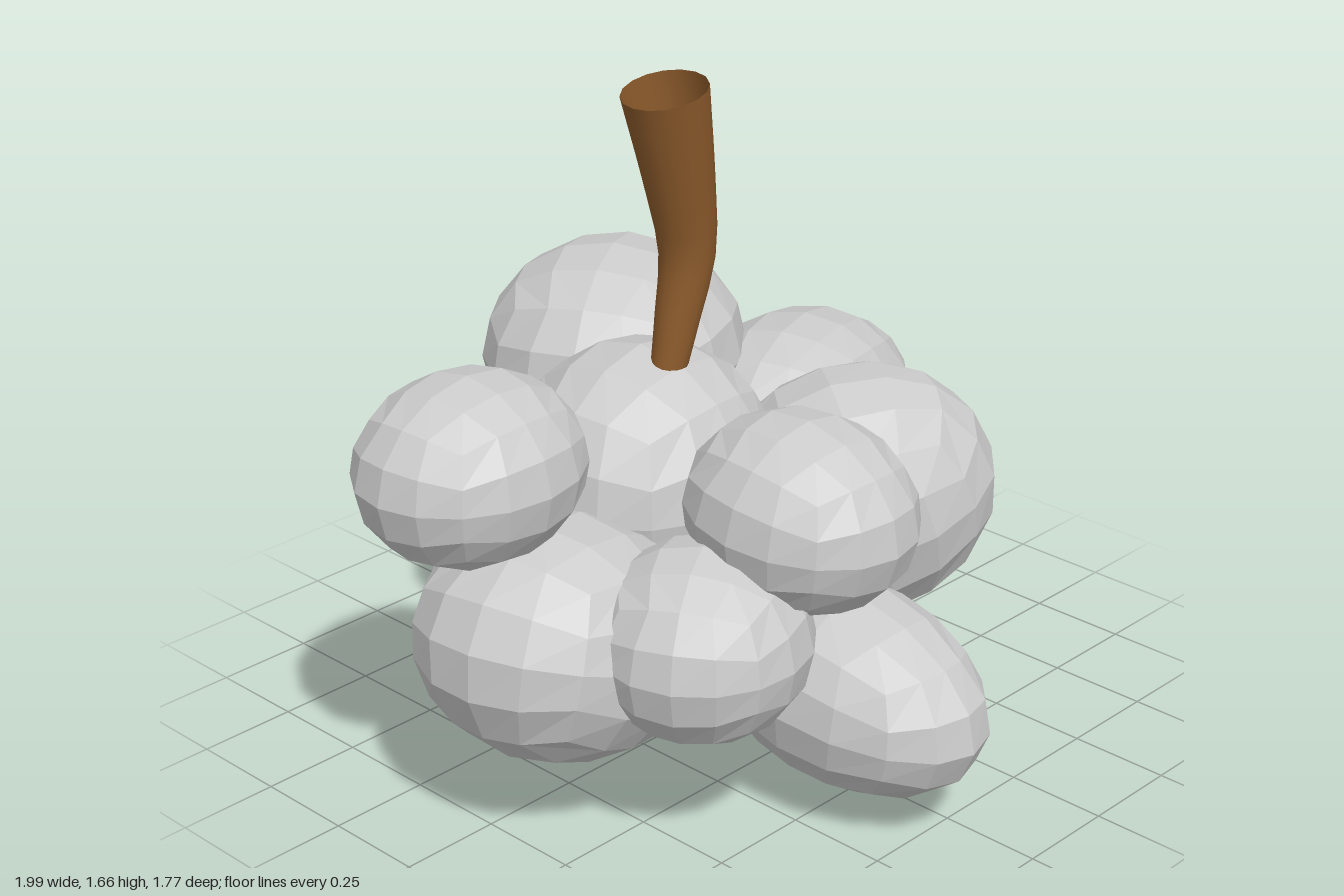
import * as THREE from 'three';
import { mergeVertices } from 'three/addons/utils/BufferGeometryUtils.js';

const grey = new THREE.MeshStandardMaterial({ color: 0xcccccc, flatShading: true });
const brown = new THREE.MeshStandardMaterial({ color: 0x8b5a2b, side: THREE.DoubleSide });

// Subdivided cube pushed out to a unit sphere
function quadSphere() {
  const g = new THREE.BoxGeometry(2, 2, 2, 4, 4, 4);
  const p = g.attributes.position;
  const v = new THREE.Vector3();
  const even = (t) => Math.tan(t * Math.PI / 4);
  for (let i = 0; i < p.count; i++) {
    v.fromBufferAttribute(p, i);
    v.set(even(v.x), even(v.y), even(v.z)).normalize();
    p.setXYZ(i, v.x, v.y, v.z);
  }
  g.computeVertexNormals();
  return g;
}

// Round tapering tube along a curve, open at both ends
function taperedTube(points, r0, r1, sides = 16, steps = 10) {
  const curve = new THREE.CatmullRomCurve3(points.map((a) => new THREE.Vector3(...a)));
  const g = new THREE.TubeGeometry(curve, steps, 1, sides, false);
  const p = g.attributes.position;
  const v = new THREE.Vector3();
  for (let i = 0; i < p.count; i++) {
    const t = Math.floor(i / (sides + 1)) / steps;
    const c = curve.getPointAt(t);
    v.fromBufferAttribute(p, i).sub(c).multiplyScalar(r0 + (r1 - r0) * t).add(c);
    p.setXYZ(i, v.x, v.y, v.z);
  }
  g.deleteAttribute('uv');
  g.deleteAttribute('normal');
  const merged = mergeVertices(g);
  merged.computeVertexNormals();
  return merged;
}

// name, centre, radii, rotation
const grapes = [
  ['grapeCentre', [-0.16, 0.68, -0.085], [0.34, 0.325, 0.32], [0, 0.1, 0]],
  ['grapeTopRight', [-0.72, 0.885, -0.06], [0.28, 0.22, 0.25], [0, 0.05, 0]],
  ['grapeFrontUpper', [-0.2, 0.77, 0.46], [0.25, 0.225, 0.285], [0.08, 0, 0]],
  ['grapeFrontLeft', [0.3, 0.565, 0.19], [0.35, 0.31, 0.31], [0.15, -0.65, 0.25]],
  ['grapeFarLeft', [0.61, 0.575, -0.27], [0.4, 0.225, 0.27], [0, 0.33, -0.13]],
  ['grapeBackUpper', [0.205, 0.755, -0.545], [0.37, 0.285, 0.335], [0, 0.5, 0]],
  ['grapeBackLower', [-0.04, 0.53, -0.54], [0.24, 0.21, 0.25], [0.1, 0.2, 0.1]],
  ['grapeRight', [-0.57, 0.45, 0.06], [0.365, 0.29, 0.33], [0, 0.2, -0.3]],
  ['grapeFrontRight', [-0.44, 0.51, 0.385], [0.27, 0.23, 0.255], [0, 0.5, 0]],
  ['grapeFrontBottom', [-0.08, 0.305, 0.5], [0.245, 0.235, 0.385], [0.12, 0, 0]],
  ['grapeBottom', [-0.07, 0.23, -0.04], [0.26, 0.23, 0.24], [0, 0.4, 0]],
  ['grapeBackLeft', [0.25, 0.335, -0.365], [0.3, 0.295, 0.32], [0.1, 0.6, 0.1]],
];

export function createModel() {
  const group = new THREE.Group();
  group.name = 'grapeBunch';

  const sphere = quadSphere();
  for (const [name, centre, radii, turn] of grapes) {
    const m = new THREE.Mesh(sphere, grey);
    m.name = name;
    m.position.set(...centre);
    m.scale.set(...radii);
    m.rotation.set(turn[0], turn[1], turn[2], 'YZX');
    group.add(m);
  }

  // Bent main stem, wider at its open top
  const stem = new THREE.Mesh(taperedTube(
    [[-0.155, 0.96, 0], [-0.125, 1.08, 0], [-0.09, 1.24, 0], [-0.115, 1.42, 0], [-0.16, 1.64, 0]],
    0.042, 0.102), brown);
  stem.name = 'stem';
  group.add(stem);

  // Short twig hidden between the grapes
  const twig = new THREE.Mesh(taperedTube(
    [[0.05, 0.62, -0.12], [0.16, 0.63, -0.14], [0.27, 0.62, -0.16]], 0.025, 0.02, 8, 4), brown);
  twig.name = 'twig';
  group.add(twig);

  return group;
}
